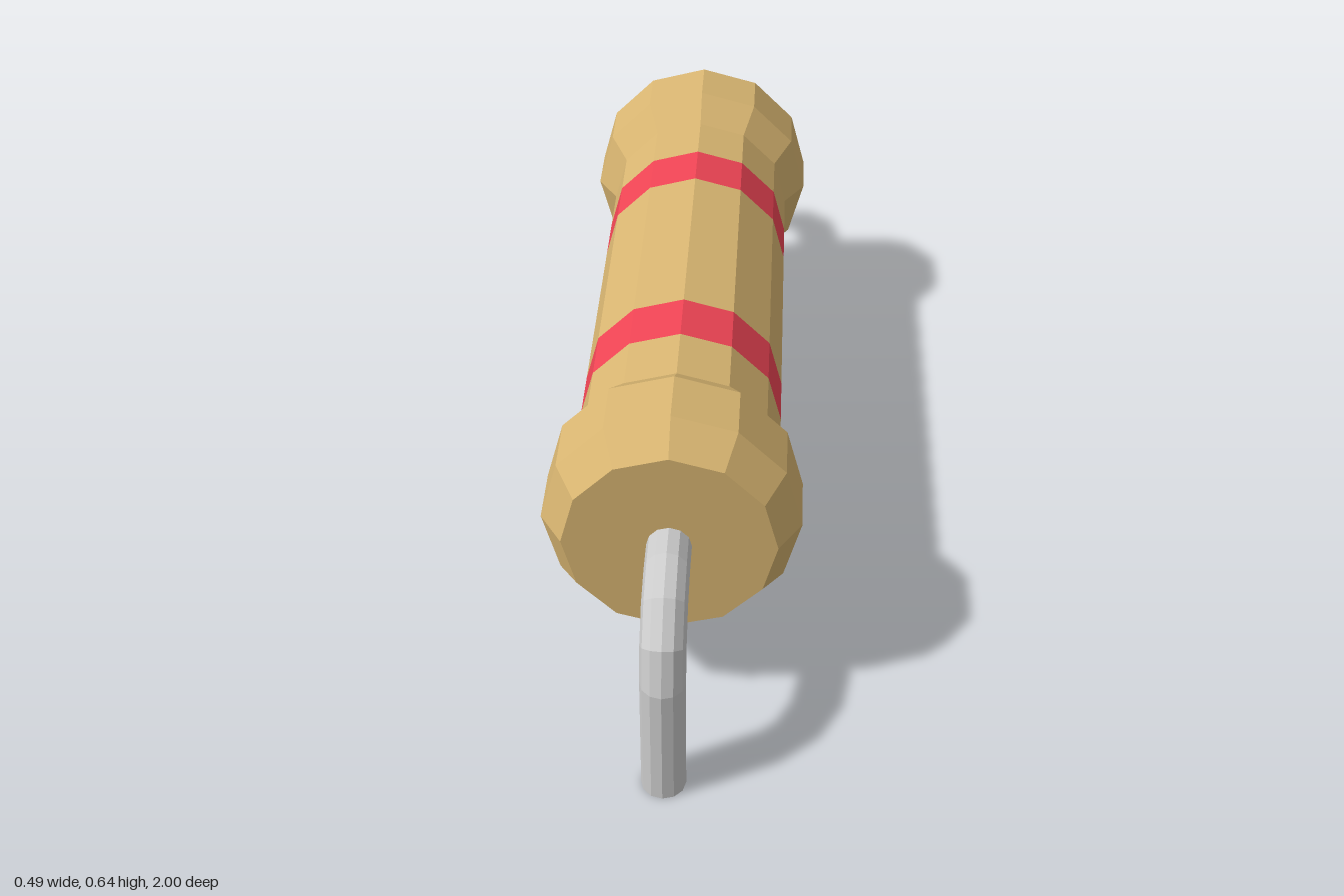
import * as THREE from 'three';

const AXIS_Y = 0.398; // height of the body axis
const SIDES = 12;

const material = (color) => new THREE.MeshStandardMaterial({ color, flatShading: true });

// Turned part along z from [radius, z] pairs, with z rising
function turned(name, profile, mat) {
  const points = profile.map(([r, z]) => new THREE.Vector2(r, z));
  const geometry = new THREE.LatheGeometry(points, SIDES).rotateX(Math.PI / 2);
  const mesh = new THREE.Mesh(geometry, mat);
  mesh.name = name;
  mesh.position.y = AXIS_Y;
  return mesh;
}

// Wire lead: a cylinder whose rings are moved onto a path with a 90 degree bend
function wireLead(mat) {
  const r = 0.042, bend = 0.14, z0 = 0.958, steps = 3;
  const stations = [[0, z0, 0]]; // [y, z, tilt], from the foot upwards
  for (let i = 0; i <= steps; i++) {
    const a = (i / steps) * Math.PI / 2;
    stations.push([
      AXIS_Y - bend + bend * Math.sin(a),
      z0 - bend + bend * Math.cos(a),
      a,
    ]);
  }
  stations.push([AXIS_Y, 0.745, Math.PI / 2]);

  const rows = stations.length - 1;
  const geometry = new THREE.CylinderGeometry(r, r, rows, SIDES, rows);
  const p = geometry.attributes.position;
  for (let i = 0; i < p.count; i++) {
    const [y, z, a] = stations[Math.round(p.getY(i) + rows / 2)];
    const offset = p.getZ(i);
    p.setXYZ(i, p.getX(i), y + offset * Math.sin(a), z + offset * Math.cos(a));
  }
  geometry.computeVertexNormals();
  const mesh = new THREE.Mesh(geometry, mat);
  mesh.name = 'wireLead';
  return mesh;
}

export function createModel() {
  const model = new THREE.Group();
  model.name = 'resistor';
  const tan = material(0xd8b571);
  const red = material(0xee4454);
  const grey = material(0xcccccc);

  // Middle of the body between the two bands
  model.add(turned('bodyMiddle', [[0.2, -0.24], [0.2, 0.24]], tan));

  // Both ends are the same, turned half round
  for (const [name, turn] of [['frontEnd', 0], ['backEnd', Math.PI]]) {
    const end = new THREE.Group();
    end.name = name;
    end.rotation.y = turn;
    end.add(
      turned('colourBand', [[0.2, 0.24], [0.2, 0.36]], red),
      // Neck, swollen collar and flat end face
      turned('endCollar', [
        [0.2, 0.36], [0.2, 0.49], [0.244, 0.56],
        [0.244, 0.68], [0.2, 0.75], [0, 0.75],
      ], tan),
      wireLead(grey),
    );
    model.add(end);
  }
  return model;
}
